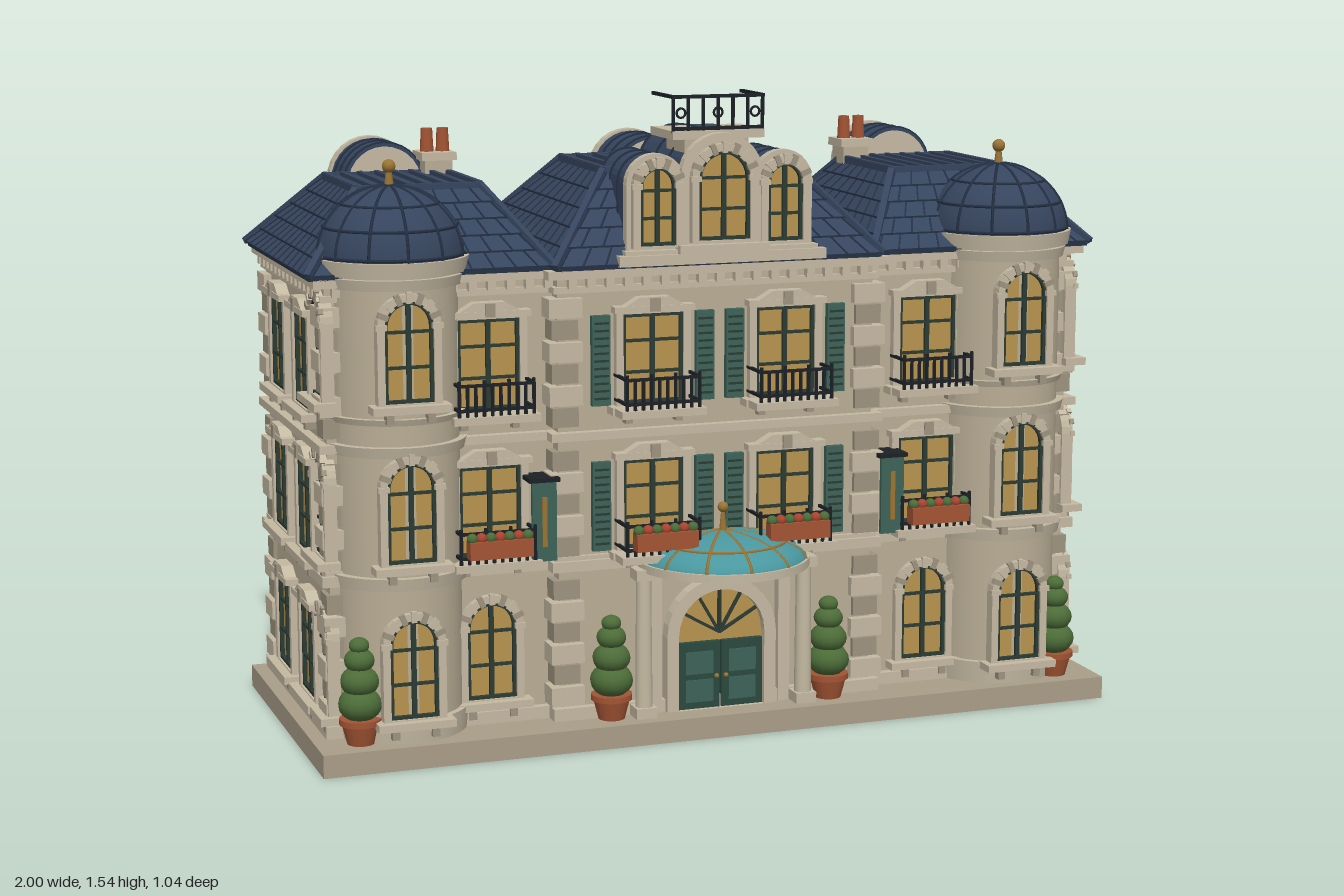
import * as THREE from 'three';
import { mergeGeometries } from 'three/addons/utils/BufferGeometryUtils.js';

const C = { stone: 0xb9ad95, trim: 0xc4b9a2, quoin: 0x9d937f, base: 0xa99d87, roof: 0x36455e, seam: 0x243044, glass: 0xb8934f,
  frame: 0x2c3b34, shutter: 0x3d6459, door: 0x2b4a40, teal: 0x4a97a0, clay: 0xa35434, leaf: 0x4c6c38, iron: 0x1d2126, brass: 0x9a7434 };
const mats = {};
const mat = c => mats[c] ??= new THREE.MeshStandardMaterial({ color: c, side: THREE.DoubleSide });
const V = (x, y, z) => new THREE.Vector3(x, y, z);

function add(parent, name, geo, color, x = 0, y = 0, z = 0) {
  const m = new THREE.Mesh(geo, mat(color));
  m.name = name;
  m.position.set(x, y, z);
  parent.add(m);
  return m;
}
const box = (p, name, w, h, d, c, x, y, z) => add(p, name, new THREE.BoxGeometry(w, h, d), c, x, y, z);
// box given by its limits
const span = (p, name, c, x0, x1, y0, y1, z0, z1) =>
  box(p, name, x1 - x0, y1 - y0, z1 - z0, c, (x0 + x1) / 2, (y0 + y1) / 2, (z0 + z1) / 2);
const cyl = (p, name, r0, r1, h, c, x, y, z, n = 24) => add(p, name, new THREE.CylinderGeometry(r0, r1, h, n), c, x, y, z);
const ball = (p, name, r, c, x, y, z, sy = 1) => {
  const m = add(p, name, new THREE.SphereGeometry(r, 14, 10), c, x, y, z);
  m.scale.y = sy;
  return m;
};
function group(parent, name, x = 0, y = 0, z = 0, ry = 0) {
  const g = new THREE.Group();
  g.name = name;
  g.position.set(x, y, z);
  g.rotation.y = ry;
  parent.add(g);
  return g;
}
// square bar between two points
function bar(a, b, t) {
  const g = new THREE.BoxGeometry(t, t, a.distanceTo(b));
  return g.applyMatrix4(new THREE.Matrix4().lookAt(b, a, V(0.01, 1, 0.02))).translate((a.x + b.x) / 2, (a.y + b.y) / 2, (a.z + b.z) / 2);
}
// outline of an opening: rectangular, or with a round head
function outline(w, h, arch, y0 = 0) {
  const pts = [new THREE.Vector2(-w / 2, y0), new THREE.Vector2(w / 2, y0)];
  if (!arch) return pts.concat(new THREE.Vector2(w / 2, h), new THREE.Vector2(-w / 2, h));
  for (let i = 0; i <= 14; i++) {
    const a = Math.PI * i / 14;
    pts.push(new THREE.Vector2(Math.cos(a) * w / 2, h - w / 2 + Math.sin(a) * w / 2));
  }
  return pts;
}
function panel(outer, depth, hole) {
  const s = new THREE.Shape(outer);
  if (hole) s.holes.push(new THREE.Path(hole));
  return new THREE.ExtrudeGeometry(s, { depth, bevelEnabled: false });
}

// window standing at its sill on a wall that faces the group's +z
function addWindow(parent, x, y, z, ry, w = 0.15, h = 0.22, arch = false, sill = true) {
  const g = group(parent, 'window', x, y, z, ry), b = 0.018;
  add(g, 'surround', panel(outline(w + 2 * b, h + b, arch, -0.005), 0.03, outline(w, h, arch)), C.trim, 0, 0, -0.01);
  add(g, 'pane', panel(outline(w, h, arch), 0.012), C.glass, 0, 0, -0.008);
  add(g, 'sash', panel(outline(w, h, arch), 0.01, outline(w - 0.016, h - 0.008, arch, 0.008)), C.frame, 0, 0, 0.004);
  box(g, 'mullion', 0.011, h, 0.01, C.frame, 0, h / 2, 0.008);
  for (const t of [0.35, 0.7]) box(g, 'glazing bar', w, 0.007, 0.008, C.frame, 0, h * t, 0.008);
  if (arch) {
    for (let i = 0; i <= 8; i++) {
      const a = Math.PI * i / 8, r = w / 2 + b / 2;
      box(g, 'arch stone', 0.026, 0.013, 0.012, i % 2 ? C.quoin : C.trim, Math.cos(a) * r, h - w / 2 + Math.sin(a) * r, 0.018).rotation.z = a;
    }
  } else {
    box(g, 'lintel', w + 0.05, 0.015, 0.045, C.trim, 0, h + 0.012, 0.01);
    add(g, 'pediment', new THREE.ExtrudeGeometry(new THREE.Shape([[-w / 2, 0], [w / 2, 0], [w / 4, 0.022], [-w / 4, 0.022]].map(p => new THREE.Vector2(...p))),
      { depth: 0.03, bevelEnabled: false }), C.trim, 0, h + 0.018, 0);
    box(g, 'keystone', 0.024, 0.032, 0.04, C.quoin, 0, h + 0.022, 0.016);
  }
  if (sill) {
    box(g, 'sill', w + 0.07, 0.018, 0.055, C.trim, 0, -0.012, 0.015);
    for (const s of [-1, 1]) box(g, 'bracket', 0.018, 0.025, 0.03, C.quoin, s * w * 0.42, -0.033, 0.01);
  }
  return g;
}
function addShutters(g, w, h) {
  for (const s of [-1, 1]) {
    const x = s * (w / 2 + 0.04);
    box(g, 'shutter', 0.045, h, 0.016, C.shutter, x, h / 2, 0.012);
    for (let i = 1; i < 12; i++) box(g, 'slat', 0.035, 0.005, 0.006, C.frame, x, h * i / 12, 0.021);
  }
}
function addBalcony(g, w, depth, planter) {
  box(g, 'balcony slab', w + 0.03, 0.018, depth, C.trim, 0, -0.012, depth / 2);
  const n = 9, rails = [], z = depth - 0.01, top = 0.07, a = -w / 2, b = w / 2;
  for (const y of [0.012, top]) rails.push(bar(V(a, y, z), V(b, y, z), 0.007), bar(V(a, y, 0), V(a, y, z), 0.007), bar(V(b, y, 0), V(b, y, z), 0.007));
  for (let i = 0; i <= n; i++) rails.push(bar(V(a + w * i / n, -0.005, z), V(a + w * i / n, i % 3 ? top : top + 0.012, z), 0.006));
  add(g, 'balcony railing', mergeGeometries(rails), C.iron);
  if (!planter) return;
  box(g, 'planter', w * 0.85, 0.042, 0.035, C.clay, 0, 0.035, z + 0.016);
  for (let i = 0; i < 7; i++) ball(g, i % 2 ? 'flower' : 'leaves', 0.013, i % 2 ? 0xa8442f : C.leaf, (i - 3) * w * 0.125, 0.062, z + 0.016);
}

// hipped mansard: overlapping slate courses, seams, hips and a ribbed flat top
function addRoof(parent, [x0, x1, z0, z1, y0], [X0, X1, Z0, Z1, Y1]) {
  const g = group(parent, 'mansard roof'), n = 5, pos = [], idx = [], seams = [];
  const ring = (t, o) => {
    const L = (a, b) => a + (b - a) * t, y = L(y0, Y1), l = L(x0, X0) - o, r = L(x1, X1) + o, k = L(z0, Z0) - o, f = L(z1, Z1) + o;
    return [V(l, y, f), V(r, y, f), V(r, y, k), V(l, y, k)];
  };
  for (let i = 0; i < n; i++) {
    const lo = ring(i / n, 0.007), hi = ring((i + 1) / n, 0), s = pos.length / 3;
    [...lo, ...hi].forEach(p => pos.push(p.x, p.y, p.z));
    for (let k = 0; k < 4; k++) {
      const m = (k + 1) % 4, count = Math.round(lo[k].distanceTo(lo[m]) / 0.055);
      idx.push(s + k, s + m, s + 4 + m, s + k, s + 4 + m, s + 4 + k);
      for (let j = 0; j < count; j++) {
        const t = (j + (i % 2 ? 0.75 : 0.25)) / count;
        seams.push(bar(lo[k].clone().lerp(lo[m], t), hi[k].clone().lerp(hi[m], t), 0.004));
      }
      seams.push(bar(lo[k], lo[m], 0.004));
    }
    if (i === n - 1) idx.push(s + 4, s + 5, s + 6, s + 4, s + 6, s + 7);
  }
  const geo = new THREE.BufferGeometry();
  geo.setAttribute('position', new THREE.Float32BufferAttribute(pos, 3));
  geo.setIndex(idx);
  const flat = geo.toNonIndexed();
  flat.computeVertexNormals();
  add(g, 'slates', flat, C.roof);
  add(g, 'slate seams', mergeGeometries(seams), C.seam);
  const lo = ring(0, 0.005), hi = ring(1, 0);
  add(g, 'hip ridges', mergeGeometries(lo.flatMap((p, k) => [bar(p, hi[k], 0.016), bar(hi[k], hi[(k + 1) % 4], 0.016)])), C.roof);
  const strips = Math.round((X1 - X0) / 0.045);
  for (let i = 0; i <= strips; i++) box(g, 'top rib', 0.012, 0.012, Z1 - Z0, C.roof, X0 + (X1 - X0) * i / strips, Y1 + 0.004, (Z0 + Z1) / 2);
  span(g, 'eave', C.seam, x0, x1, y0 - 0.012, y0 + 0.002, z0, z1);
}
// arched dormer facing the group's +z
function addDormer(parent, x, y, z, ry, w, h, depth) {
  const g = group(parent, 'dormer', x, y, z, ry);
  add(g, 'barrel', panel(outline(w, h, true), depth), C.roof, 0, 0, -depth);
  add(g, 'front arch', panel(outline(w + 0.012, h + 0.006, true), 0.025), C.trim, 0, 0, -0.015);
  add(g, 'back wall', panel(outline(w - 0.016, h - 0.008, true), 0.012), C.trim, 0, 0, -depth - 0.006);
  for (const t of [0.35, 0.65, 0.99]) add(g, 'barrel seam', panel(outline(w + 0.008, h + 0.004, true), 0.006), C.seam, 0, 0, -depth * t);
  addWindow(g, 0, 0.04, 0.01, 0, w * 0.66, h - 0.04 - w * 0.18, true, false);
  box(g, 'dormer sill', w + 0.03, 0.02, 0.05, C.trim, 0, 0.02, 0.005);
}

const W = 0.945, F = 0.24, CF = 0.28, B = -0.41, TX = 0.775, TZ = 0.19, TR = 0.155;
const floors = [0.115, 0.465, 0.815];

function addTower(root, s) {
  const g = group(root, 'corner tower', s * TX, 0, TZ);
  cyl(g, 'tower wall', TR, TR, 1.12, C.stone, 0, 0.615, 0, 40);
  for (const [y, h, o] of [[0.08, 0.06, 0.015], [0.435, 0.03, 0.018], [0.745, 0.025, 0.018], [0.815, 0.015, 0.015], [1.13, 0.025, 0.015], [1.165, 0.035, 0.027]])
    cyl(g, 'tower band', TR + o, TR + o - 0.006, h, C.trim, 0, y, 0, 40);
  for (const y of [0.115, 0.485, 0.86]) {
    addWindow(g, 0, y, 0.15, 0, 0.115, 0.235, true);
    addWindow(g, s * 0.165, y, 0, s * Math.PI / 2, 0.115, 0.235, true);
  }
  const dome = group(g, 'dome', 0, 1.18, 0);
  add(dome, 'dome shell', new THREE.SphereGeometry(0.172, 32, 12, 0, Math.PI * 2, 0, Math.PI / 2), C.roof).scale.y = 0.95;
  for (let i = 0; i < 6; i++) {
    const rib = add(dome, 'dome rib', new THREE.TorusGeometry(0.172, 0.004, 5, 24, Math.PI), C.seam);
    rib.rotation.y = i * Math.PI / 6;
    rib.scale.y = 0.95;
  }
  for (const a of [0.05, 0.45, 0.85]) add(dome, 'dome course', new THREE.TorusGeometry(0.172 * Math.cos(a), 0.004, 5, 32), C.seam, 0, 0.163 * Math.sin(a), 0).rotation.x = Math.PI / 2;
  cyl(dome, 'finial stem', 0.006, 0.012, 0.05, C.brass, 0, 0.18, 0, 10);
  ball(dome, 'finial', 0.016, C.brass, 0, 0.207, 0);
}

function addEntrance(root) {
  const g = group(root, 'entrance', 0, 0.055, CF);
  add(g, 'door arch', panel(outline(0.28, 0.325, true), 0.035, outline(0.22, 0.295, true)), C.trim);
  add(g, 'fanlight', panel(outline(0.22, 0.295, true), 0.012), C.glass);
  for (let i = 1; i < 6; i++) {
    const a = Math.PI * i / 6;
    add(g, 'fanlight bar', bar(V(0, 0.185, 0.016), V(Math.cos(a) * 0.11, 0.185 + Math.sin(a) * 0.11, 0.016), 0.007), C.frame);
  }
  for (const s of [-1, 1]) {
    box(g, 'door leaf', 0.106, 0.165, 0.02, C.door, s * 0.055, 0.083, 0.016);
    for (const y of [0.045, 0.115]) box(g, 'door panel', 0.07, 0.055, 0.008, C.shutter, s * 0.055, y, 0.026);
    ball(g, 'door knob', 0.006, C.brass, s * 0.012, 0.08, 0.032);
    cyl(g, 'column', 0.018, 0.021, 0.35, C.trim, s * 0.205, 0.185, 0.05, 16);
    for (const y of [0.015, 0.355]) box(g, 'column block', 0.052, 0.026, 0.052, C.trim, s * 0.205, y, 0.05);
    box(g, 'pilaster', 0.03, 0.34, 0.03, C.trim, s * 0.165, 0.17, 0.01);
  }
  const c = group(g, 'glass canopy', 0, 0.37, 0.03), R = 0.208;
  add(c, 'canopy glass', new THREE.SphereGeometry(R, 24, 8, 0, Math.PI, 0, Math.PI / 2), C.teal).scale.y = 0.36;
  add(c, 'canopy rim', new THREE.CylinderGeometry(R + 0.004, R + 0.004, 0.02, 32, 1, false, -Math.PI / 2, Math.PI), C.trim);
  for (let i = 0; i <= 6; i++) {
    const rib = add(c, 'canopy rib', new THREE.TorusGeometry(R, 0.004, 5, 12, Math.PI / 2), C.brass);
    rib.rotation.y = -i * Math.PI / 6;
    rib.scale.y = 0.36;
  }
  const ring = add(c, 'canopy ring', new THREE.TorusGeometry(R * 0.75, 0.004, 5, 24, Math.PI), C.brass, 0, R * 0.36 * 0.66, 0);
  ring.rotation.x = Math.PI / 2;
  cyl(c, 'canopy finial', 0.004, 0.01, 0.06, C.brass, 0, 0.1, 0.01, 8);
  ball(c, 'finial ball', 0.013, C.brass, 0, 0.13, 0.01);
}

export function createModel() {
  const root = new THREE.Group();
  root.name = 'mansion';
  span(root, 'ground slab', C.base, -1, 1, 0, 0.055, -0.45, 0.38);

  // walls and horizontal bands share the same three-block plan
  const blocks = (name, c, y0, y1, o) => {
    span(root, name, c, -W - o, W + o, y0, y1, B - o, F + o);
    span(root, name, c, -0.4 - o, 0.4 + o, y0, y1, 0, CF + o);
  };
  blocks('walls', C.stone, 0.05, 1.15, 0);
  for (const [y0, y1, o] of [[0.055, 0.085, 0.02], [0.42, 0.445, 0.022], [0.445, 0.455, 0.012], [0.735, 0.755, 0.022], [1.085, 1.1, 0.012], [1.12, 1.14, 0.03]])
    blocks('stone band', C.trim, y0, y1, o);

  // dentils under the cornice
  const dentils = [], dentil = (x, z) => dentils.push(new THREE.BoxGeometry(0.02, 0.022, 0.02).translate(x, 1.108, z));
  for (let x = -0.92; x < 0.93; x += 0.046) {
    dentil(x, B - 0.013);
    dentil(x, (Math.abs(x) < 0.41 ? CF : F) + 0.013);
  }
  for (let z = -0.39; z < 0.24; z += 0.046) [-1, 1].forEach(s => dentil(s * (W + 0.013), z));
  add(root, 'dentils', mergeGeometries(dentils), C.trim);

  // quoins
  for (const s of [-1, 1]) for (const [x, z] of [[W - 0.022, F - 0.022], [W - 0.022, B + 0.022], [0.385, CF - 0.02], [0.43, B + 0.02]])
    for (let i = 0; i < 19; i++) {
      const y = 0.115 + i * 0.052, w = i % 2 ? 0.065 : 0.082;
      if (Math.abs(y - 0.435) > 0.03 && Math.abs(y - 0.745) > 0.03) box(root, 'quoin', w, 0.046, w, i % 2 ? C.quoin : C.trim, s * x, y, z);
    }

  const backDoors = [-0.83, -0.22, 0.53];
  floors.forEach((y, i) => {
    for (const s of [-1, 1]) {
      // side walls
      for (const z of [0.055, -0.21]) addWindow(root, s * W, y, z, s * Math.PI / 2);
      // front wall
      const wing = addWindow(root, s * 0.56, y, F, 0, i ? 0.15 : 0.12, i ? 0.215 : 0.235, !i);
      if (!i) continue;
      const mid = addWindow(root, s * 0.168, y, CF, 0, 0.15, 0.215);
      addShutters(mid, 0.18, 0.215);
      for (const g of [wing, mid]) addBalcony(g, 0.18, g === mid ? 0.1 : 0.09, i === 1);
    }
    // rear wall
    for (const x of [-0.83, -0.56, -0.22, 0.22, 0.53, 0.83]) {
      if (i || !backDoors.includes(x)) { addWindow(root, x, y, B, Math.PI); continue; }
      const d = group(root, 'rear door', x, 0.055, B, Math.PI);
      add(d, 'door arch', panel(outline(0.15, 0.25, true), 0.035, outline(0.1, 0.225, true)), C.trim);
      add(d, 'door pane', panel(outline(0.1, 0.225, true), 0.01), C.glass);
      add(d, 'door frame', panel(outline(0.1, 0.225, true), 0.02, outline(0.066, 0.205, true, 0.09)), C.door);
      box(d, 'glazing bar', 0.01, 0.2, 0.018, C.door, 0, 0.12, 0.01);
      box(d, 'hood', 0.06, 0.03, 0.045, C.quoin, 0, 0.25, 0.02);
      span(root, 'rear step', C.base, x - 0.117, x + 0.117, 0.012, 0.035, -0.52, -0.44);
      span(root, 'rear step', C.base, x - 0.085, x + 0.085, 0.03, 0.05, -0.48, -0.44);
    }
  });

  addEntrance(root);
  for (const s of [-1, 1]) {
    addTower(root, s);
    // hanging banner
    box(root, 'banner', 0.06, 0.19, 0.01, C.shutter, s * 0.445, 0.55, 0.31);
    box(root, 'banner stripe', 0.012, 0.12, 0.006, C.brass, s * 0.445, 0.55, 0.315);
    box(root, 'banner arm', 0.075, 0.01, 0.08, C.iron, s * 0.445, 0.65, 0.28);
    // topiary
    for (const x of [0.28, 0.895]) {
      const t = group(root, 'topiary', s * x, 0.055, 0.31);
      cyl(t, 'pot', 0.046, 0.032, 0.055, C.clay, 0, 0.028, 0, 18);
      cyl(t, 'pot rim', 0.05, 0.05, 0.014, C.clay, 0, 0.055, 0, 18);
      [[0.095, 0.052], [0.15, 0.046], [0.2, 0.036], [0.235, 0.024]].forEach(([y, r]) => ball(t, 'foliage', r, C.leaf, 0, y, 0, 0.8));
    }
    // wing roof, rear dormer and chimney
    const a = [0.41, 0.985].map(v => v * s).sort((p, q) => p - q), b = [0.53, 0.83].map(v => v * s).sort((p, q) => p - q);
    addRoof(root, [...a, -0.43, 0.27, 1.15], [...b, -0.24, 0.09, 1.325]);
    addDormer(root, s * 0.68, 1.15, -0.4, Math.PI, 0.2, 0.25, 0.16);
    const c = group(root, 'chimney', s * 0.555, 0, -0.23);
    box(c, 'stack', 0.07, 0.13, 0.075, C.stone, 0, 1.305, 0);
    box(c, 'cap', 0.088, 0.02, 0.09, C.trim, 0, 1.368, 0);
    for (const k of [-1, 1]) cyl(c, 'chimney pot', 0.014, 0.017, 0.06, C.clay, k * 0.02, 1.405, 0, 14);
  }

  // central roof with its dormers
  addRoof(root, [-0.41, 0.41, -0.41, 0.31, 1.15], [-0.24, 0.24, -0.2, 0.14, 1.355]);
  addDormer(root, 0, 1.15, -0.39, Math.PI, 0.2, 0.25, 0.19);
  addDormer(root, 0, 1.16, 0.3, 0, 0.195, 0.285, 0.32);
  for (const s of [-1, 1]) addDormer(root, s * 0.16, 1.15, 0.285, 0, 0.135, 0.25, 0.2);
  span(root, 'dormer ledge', C.trim, -0.26, 0.26, 1.145, 1.17, 0.25, 0.325);

  // roof platform and railing
  span(root, 'platform', C.trim, -0.115, 0.115, 1.435, 1.455, 0.125, 0.285);
  span(root, 'platform base', C.stone, -0.08, 0.08, 1.4, 1.437, 0.14, 0.27);
  span(root, 'hatch', C.roof, -0.03, 0.03, 1.45, 1.46, 0.16, 0.25);
  const rails = [1.46, 1.535].map(y => bar(V(-0.112, y, 0.28), V(0.112, y, 0.28), 0.008));
  for (const s of [-1, 1]) rails.push(bar(V(s * 0.112, 1.535, 0.135), V(s * 0.112, 1.535, 0.284), 0.008));
  for (let i = 0; i <= 6; i++) rails.push(bar(V(-0.112 + i * 0.0373, 1.45, 0.28), V(-0.112 + i * 0.0373, 1.535, 0.28), 0.006));
  for (const x of [-0.093, 0, 0.093]) rails.push(new THREE.TorusGeometry(0.011, 0.003, 5, 12).translate(x, 1.497, 0.28));
  add(root, 'roof railing', mergeGeometries(rails), C.iron);
  return root;
}
